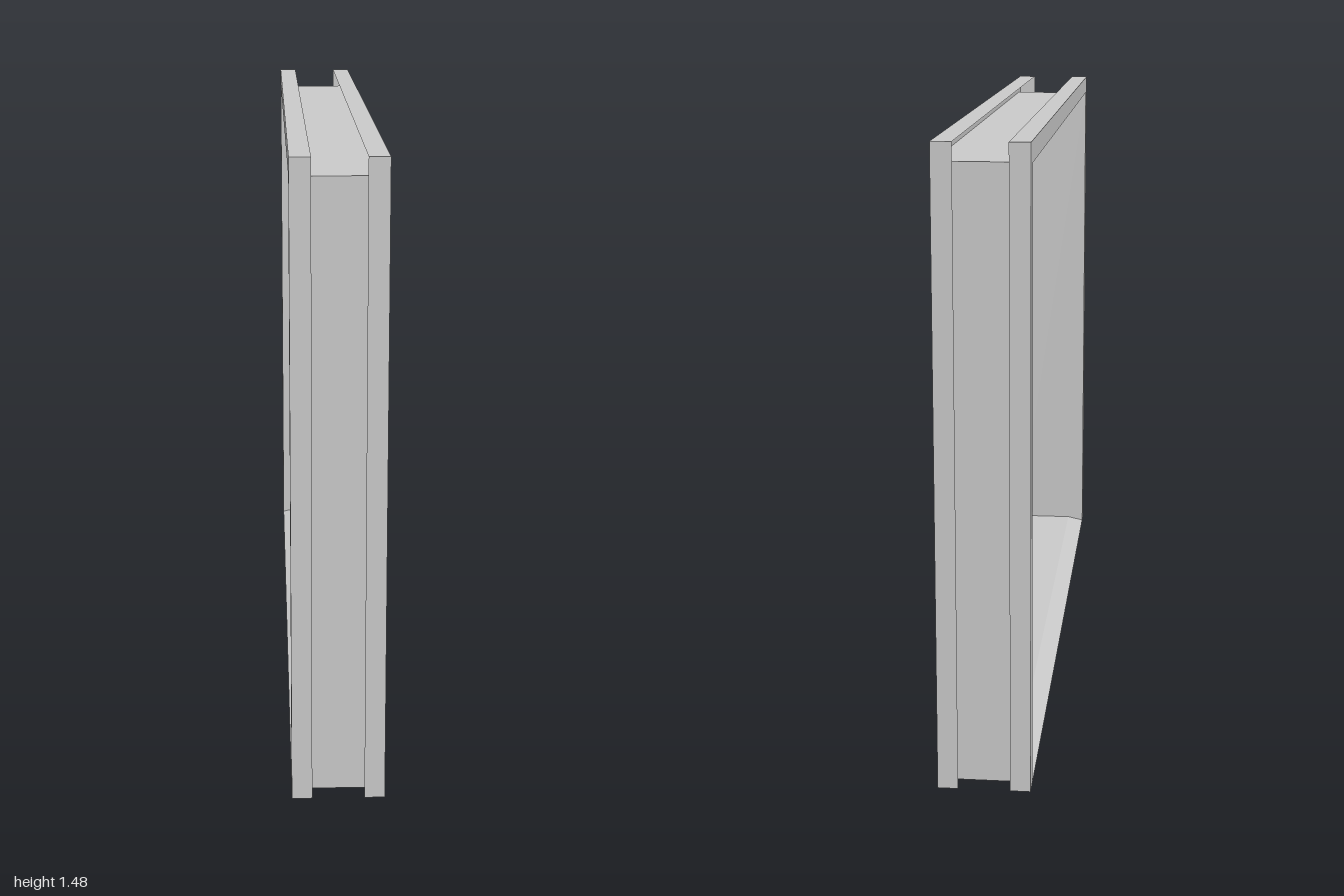
import * as THREE from 'three';

const material = new THREE.MeshStandardMaterial({
  color: 0xcccccc, flatShading: true, side: THREE.DoubleSide,
});

// Opening size and depth of the folded channel
const HALF_OPENING = 0.953, OPENING_HEIGHT = 1.431, DEPTH = 0.047;
const HALF_WIDTH = 0.107, LIP_EDGE = 0.06;

// Sheet spanned between two polylines with equal point counts
function strip(name, a, b) {
  const positions = [];
  for (let i = 0; i < a.length - 1; i++) {
    for (const p of [a[i], b[i], b[i + 1], a[i], b[i + 1], a[i + 1]]) positions.push(...p);
  }
  const geometry = new THREE.BufferGeometry();
  geometry.setAttribute('position', new THREE.Float32BufferAttribute(positions, 3));
  geometry.computeVertexNormals();
  const mesh = new THREE.Mesh(geometry, material);
  mesh.name = name;
  return mesh;
}

// Path up one jamb, across the head and down the other, mitred at the corners
function framePath(x, offset) {
  const z = HALF_OPENING + offset, y = OPENING_HEIGHT + offset;
  return [[x, 0, z], [x, y, z], [x, y, -z], [x, 0, -z]];
}

export function createModel() {
  const model = new THREE.Group();
  model.name = 'openingFrame';

  // Inner lining of both jambs and the head
  model.add(strip('lining', framePath(HALF_WIDTH, 0), framePath(-HALF_WIDTH, 0)));

  // Side faces and the lips folded back over the open channel
  for (const [side, s] of [['left', 1], ['right', -1]]) {
    const inner = framePath(s * HALF_WIDTH, 0);
    const outer = framePath(s * HALF_WIDTH, DEPTH);
    const lip = framePath(s * LIP_EDGE, DEPTH);
    const [first, second] = s > 0 ? [outer, inner] : [inner, outer];
    model.add(strip(side + 'Face', first, second));
    model.add(s > 0 ? strip(side + 'Lip', lip, outer) : strip(side + 'Lip', outer, lip));
  }

  // Low threshold sheet with sloped edges
  const profile = [[-HALF_WIDTH, 0], [-LIP_EDGE, 0.01], [LIP_EDGE, 0.01], [HALF_WIDTH, 0]];
  const sillEdge = (z) => profile.map(([x, y]) => [x, y, z]);
  model.add(strip('threshold', sillEdge(-HALF_OPENING), sillEdge(HALF_OPENING)));

  return model;
}
